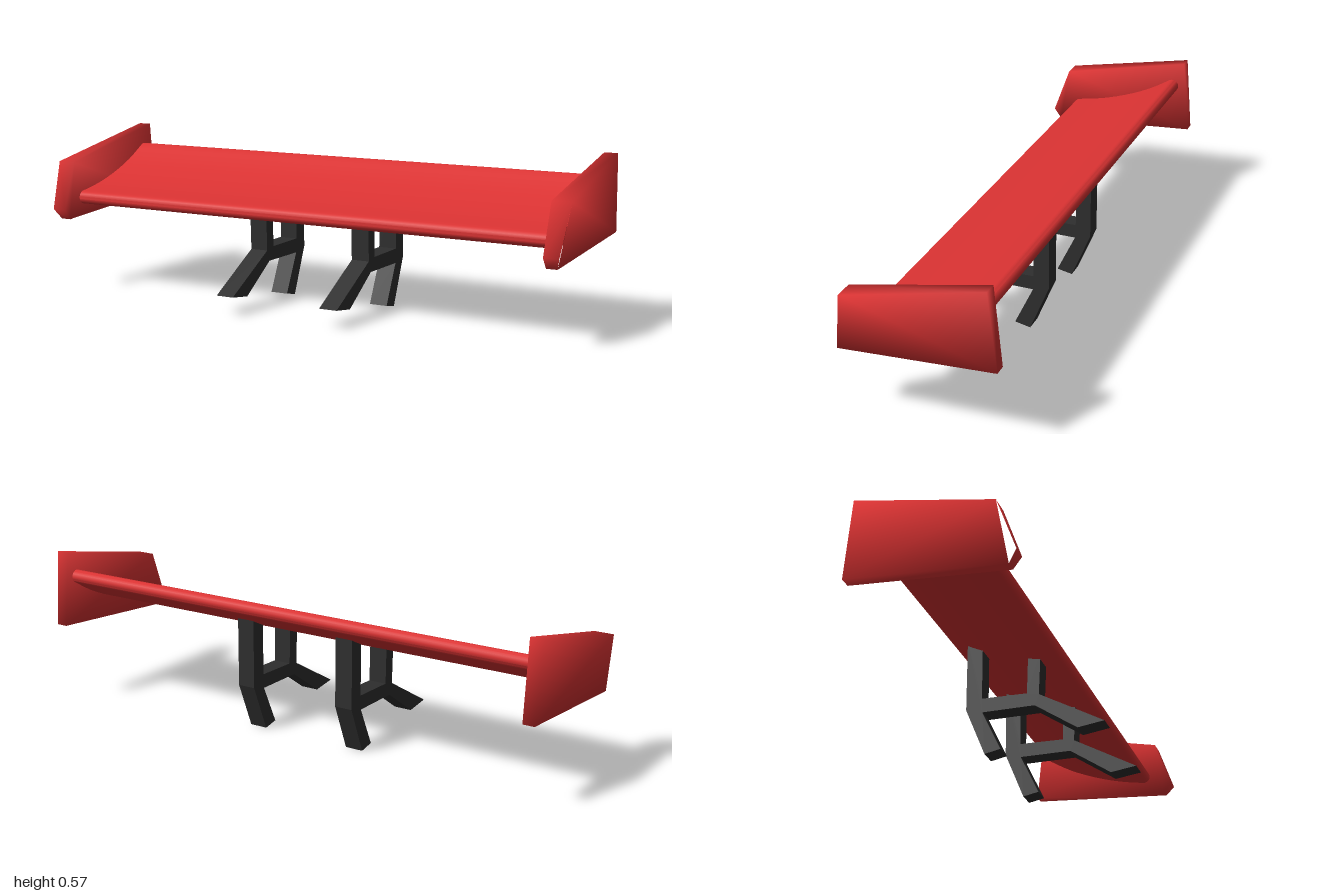
import * as THREE from 'three';
import { toCreasedNormals } from 'three/addons/utils/BufferGeometryUtils.js';

const red = new THREE.MeshStandardMaterial({ color: 0xd93232 });
red.name = 'red paint';
const black = new THREE.MeshStandardMaterial({ color: 0x2e2e2e });
black.name = 'black metal';

// Extrudes a side outline of [z, y] points along x, centred on x = 0
function extrudeSide(points, width) {
  const shape = new THREE.Shape(points.map(([z, y]) => new THREE.Vector2(-z, y)));
  const geo = new THREE.ExtrudeGeometry(shape, { depth: width, bevelEnabled: false });
  return geo.translate(0, 0, -width / 2).rotateY(Math.PI / 2);
}

// Curved blade: a centre line given thickness, with round leading and trailing edges
function wingGeometry() {
  const line = new THREE.SplineCurve(
    [[0.145, 0.335], [0.05, 0.353], [-0.05, 0.383], [-0.15, 0.425], [-0.235, 0.475]]
      .map(([z, y]) => new THREE.Vector2(z, y)));
  const r = 0.024, steps = 12, caps = 8, outline = [];
  const add = (t, turn) => {
    const p = line.getPoint(t), d = line.getTangent(t);
    const a = Math.atan2(d.y, d.x) + turn;
    outline.push([p.x + r * Math.cos(a), p.y + r * Math.sin(a)]);
  };
  for (let i = 0; i <= steps; i++) add(i / steps, -Math.PI / 2);
  for (let i = 1; i < caps; i++) add(1, -Math.PI / 2 + Math.PI * i / caps);
  for (let i = steps; i >= 0; i--) add(i / steps, Math.PI / 2);
  for (let i = 1; i < caps; i++) add(0, Math.PI / 2 + Math.PI * i / caps);
  return toCreasedNormals(extrudeSide(outline, 1.88), 0.7);
}

// End plate with a flared outer face and soft shading around its rim
function endPlateGeometry(side) {
  // z, y, outer x
  const corners = [
    [0.255, 0.30, 0.985], [0.195, 0.47, 1.0], [-0.278, 0.57, 0.98],
    [-0.305, 0.30, 0.973], [0.227, 0.262, 0.97],
  ];
  const n = corners.length, positions = [], normals = [], index = [];
  const edgeNormal = (i) => {
    const a = corners[i % n], b = corners[(i + 1) % n];
    return new THREE.Vector2(b[1] - a[1], a[0] - b[0]).normalize();
  };
  for (const face of [0, 1]) {
    corners.forEach(([z, y, x], i) => {
      positions.push(side * (face ? x : 0.932), y, z);
      const rim = edgeNormal(i + n - 1).add(edgeNormal(i));
      const normal = new THREE.Vector3(side * (face ? 1.3 : -1.3), rim.y, rim.x).normalize();
      normals.push(normal.x, normal.y, normal.z);
    });
  }
  const tri = (a, b, c) => index.push(...(side > 0 ? [a, b, c] : [a, c, b]));
  // Faces fan out from the top front corner
  for (const [a, b] of [[2, 3], [3, 4], [4, 0]]) {
    tri(1 + n, b + n, a + n);
    tri(1, a, b);
  }
  for (let i = 0; i < n; i++) {
    const j = (i + 1) % n;
    tri(i, i + n, j + n);
    tri(i, j + n, j);
  }
  const geo = new THREE.BufferGeometry();
  geo.setAttribute('position', new THREE.Float32BufferAttribute(positions, 3));
  geo.setAttribute('normal', new THREE.Float32BufferAttribute(normals, 3));
  // The corner order runs front, top, back, so flip the winding to face outwards
  for (let i = 0; i < index.length; i += 3) {
    const [a, b, c] = index.slice(i, i + 3).map(k => new THREE.Vector3().fromArray(positions, k * 3));
    const m = a.clone().add(b).add(c).divideScalar(3).sub(new THREE.Vector3(side * 0.955, 0.4, -0.02));
    if (b.sub(a).cross(c.sub(a)).dot(m) < 0) [index[i + 1], index[i + 2]] = [index[i + 2], index[i + 1]];
  }
  geo.setIndex(index);
  return geo;
}

// Bracket outline: two posts, a crossbar and two splayed feet
const BRACKET = [
  [0.086, 0.345], [0.08, 0.192], [0.305, 0.065], [0.213, 0.052], [0.065, 0.153],
  [-0.12, 0.153], [-0.054, 0.011], [-0.11, 0.0], [-0.178, 0.168], [-0.177, 0.435],
  [-0.122, 0.41], [-0.122, 0.204], [0.038, 0.201], [0.042, 0.352],
];

export function createModel() {
  const model = new THREE.Group();
  model.name = 'rearSpoiler';
  const add = (name, geometry, material, x = 0) => {
    const mesh = new THREE.Mesh(geometry, material);
    mesh.name = name;
    mesh.position.x = x;
    model.add(mesh);
  };

  add('wingBlade', wingGeometry(), red);
  const bracket = extrudeSide(BRACKET, 0.066);
  for (const [label, side] of [['left', 1], ['right', -1]]) {
    add(label + 'EndPlate', endPlateGeometry(side), red);
    add(label + 'Bracket', bracket, black, side * 0.203);
  }
  return model;
}
